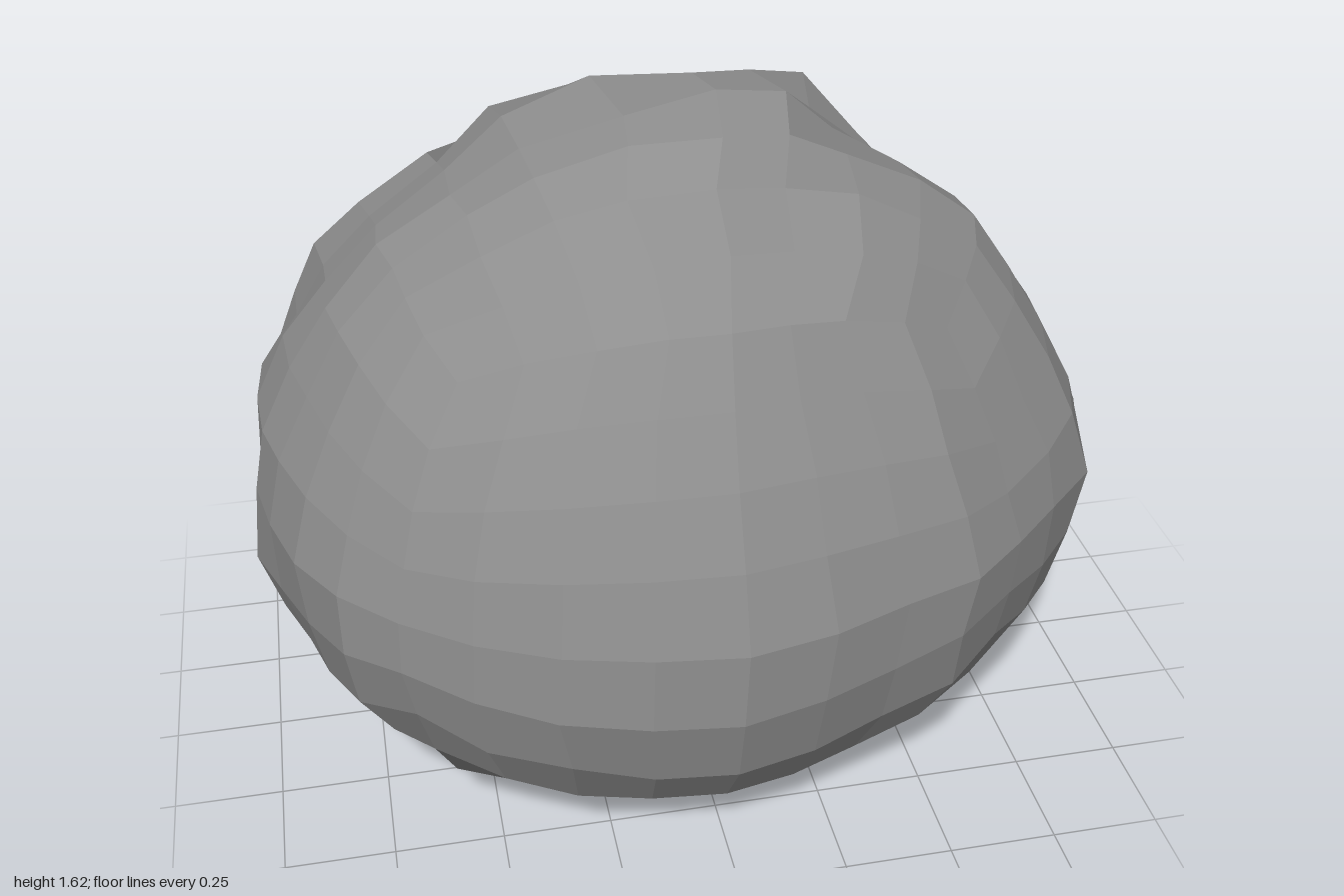
import * as THREE from 'three';

// Level cross-sections, bottom to top: y, xMin, xMax, zMin, zMax
const LEVELS = [
  [0.00, -0.03, 0.03, -0.06, -0.04],
  [0.05, -0.35, 0.42, -0.43, 0.18],
  [0.12, -0.72, 0.72, -0.60, 0.43],
  [0.18, -0.85, 0.83, -0.70, 0.65],
  [0.28, -0.90, 0.88, -0.76, 0.72],
  [0.42, -0.97, 0.96, -0.82, 0.80],
  [0.57, -1.00, 0.97, -0.79, 0.82],
  [0.71, -1.00, 1.00, -0.81, 0.81],
  [0.90, -0.95, 0.94, -0.73, 0.75],
  [1.10, -0.84, 0.83, -0.65, 0.66],
  [1.26, -0.71, 0.72, -0.55, 0.56],
  [1.36, -0.56, 0.62, -0.49, 0.49],
  [1.44, -0.46, 0.52, -0.42, 0.40],
  [1.50, -0.37, 0.40, -0.34, 0.34],
  [1.57, -0.21, 0.29, -0.22, 0.27],
  [1.62, -0.06, 0.20, -0.03, 0.22],
  [1.645, 0.06, 0.10, 0.05, 0.08],
];

// Plan outline, counted from +x round through +z
const OUTLINE = [
  [1, 0], [0.93, 0.30], [0.80, 0.43], [0.55, 0.65], [0.20, 0.77], [0, 0.81],
  [-0.20, 0.79], [-0.40, 0.74], [-0.60, 0.64], [-0.73, 0.53], [-0.85, 0.40], [-0.94, 0.20], [-1, 0],
  [-0.97, -0.30], [-0.94, -0.51], [-0.84, -0.65], [-0.70, -0.75], [-0.55, -0.80], [-0.38, -0.81],
  [0, -0.75], [0.18, -0.72], [0.40, -0.63], [0.56, -0.60], [0.66, -0.50], [0.82, -0.39], [0.92, -0.28], [1, 0],
].map(([x, z]) => [x, z / 0.81]);

// Dents (negative) and bumps (positive): x, y, z, radius, amount
const RELIEF = [
  [0.38, 1.42, -0.08, 0.14, -0.09],
  [0.55, 1.25, -0.17, 0.16, -0.08],
  [0.75, 1.02, -0.22, 0.16, -0.05],
  [0.27, 1.50, -0.27, 0.13, 0.09],
  [0.50, 1.38, -0.33, 0.14, 0.07],
  [0.02, 1.50, -0.22, 0.12, -0.04],
];

const MID = 0.71;

// Piecewise linear lookup of rows by an ascending key
function lookup(keys, rows, k) {
  let i = 1;
  while (i < keys.length - 1 && keys[i] < k) i++;
  const t = THREE.MathUtils.clamp((k - keys[i - 1]) / (keys[i] - keys[i - 1]), 0, 1);
  return rows[i].map((v, j) => THREE.MathUtils.lerp(rows[i - 1][j], v, t));
}

const latitudes = LEVELS.map(([y, x0, x1, z0, z1]) => Math.atan2(y - MID, (x1 - x0 + z1 - z0) / 4));
latitudes[0] = -Math.PI / 2;
latitudes[latitudes.length - 1] = Math.PI / 2;
const turn = (x, z) => (Math.atan2(z, x) + Math.PI * 2) % (Math.PI * 2);
const azimuths = OUTLINE.map(([x, z], i) => (i === OUTLINE.length - 1 ? Math.PI * 2 : turn(x, z)));

// Repeatable small offset for each direction, equal on shared seams
function jitter(d, seed) {
  const q = Math.round(d.x * 500) * 12.9898 + Math.round(d.y * 500) * 78.233 + Math.round(d.z * 500) * 37.719;
  const s = Math.sin(q + seed) * 43758.5453;
  return (s - Math.floor(s)) * 2 - 1;
}

// Carries a direction from the centre onto the rock surface
function surfacePoint(d) {
  const flat = Math.hypot(d.x, d.z);
  const [y, x0, x1, z0, z1] = lookup(latitudes, LEVELS, Math.atan2(d.y, flat));
  const [ox, oz] = flat < 1e-6 ? [0, 0] : lookup(azimuths, OUTLINE, turn(d.x, d.z));
  const p = new THREE.Vector3(
    (x0 + x1) / 2 + (ox * (x1 - x0)) / 2, y, (z0 + z1) / 2 + (oz * (z1 - z0)) / 2);
  let push = 0;
  for (const [x, ry, z, r, amount] of RELIEF) {
    const far = p.distanceToSquared(new THREE.Vector3(x, ry, z));
    push += amount * Math.exp(-far / (r * r));
  }
  // The back is rougher than the front
  const rough = d.z < 0.1 ? 0.018 : 0.007;
  p.addScaledVector(d, push + jitter(d, 1) * rough);
  p.x += jitter(d, 2) * rough * 0.6;
  p.z += jitter(d, 3) * rough * 0.6;
  p.y = Math.max(0, p.y);
  return p;
}

export function createModel() {
  const group = new THREE.Group();
  group.name = 'boulder';
  const stone = new THREE.MeshStandardMaterial({ color: 0x8e8e8e });
  stone.name = 'grey stone';

  // A gridded cube, spread evenly to a ball and then shaped, gives square facets
  const n = 8;
  const box = new THREE.BoxGeometry(2, 2, 2, n, n, n);
  const pos = box.attributes.position;
  const d = new THREE.Vector3();
  for (let i = 0; i < pos.count; i++) {
    d.fromBufferAttribute(pos, i);
    d.set(...d.toArray().map((v) => Math.tan((v * Math.PI) / 4))).normalize();
    const p = surfacePoint(d);
    pos.setXYZ(i, p.x, p.y, p.z);
  }
  const rock = box.toNonIndexed();
  rock.clearGroups();
  rock.computeVertexNormals();

  // Both triangles of a square share one normal so that it reads as one facet
  const nor = rock.attributes.normal;
  const a = new THREE.Vector3();
  const b = new THREE.Vector3();
  for (let i = 0; i < nor.count; i += 6) {
    a.fromBufferAttribute(nor, i);
    b.fromBufferAttribute(nor, i + 3);
    a.add(b).normalize();
    for (let j = 0; j < 6; j++) nor.setXYZ(i + j, a.x, a.y, a.z);
  }

  const mesh = new THREE.Mesh(rock, stone);
  mesh.name = 'rock';
  group.add(mesh);
  return group;
}
